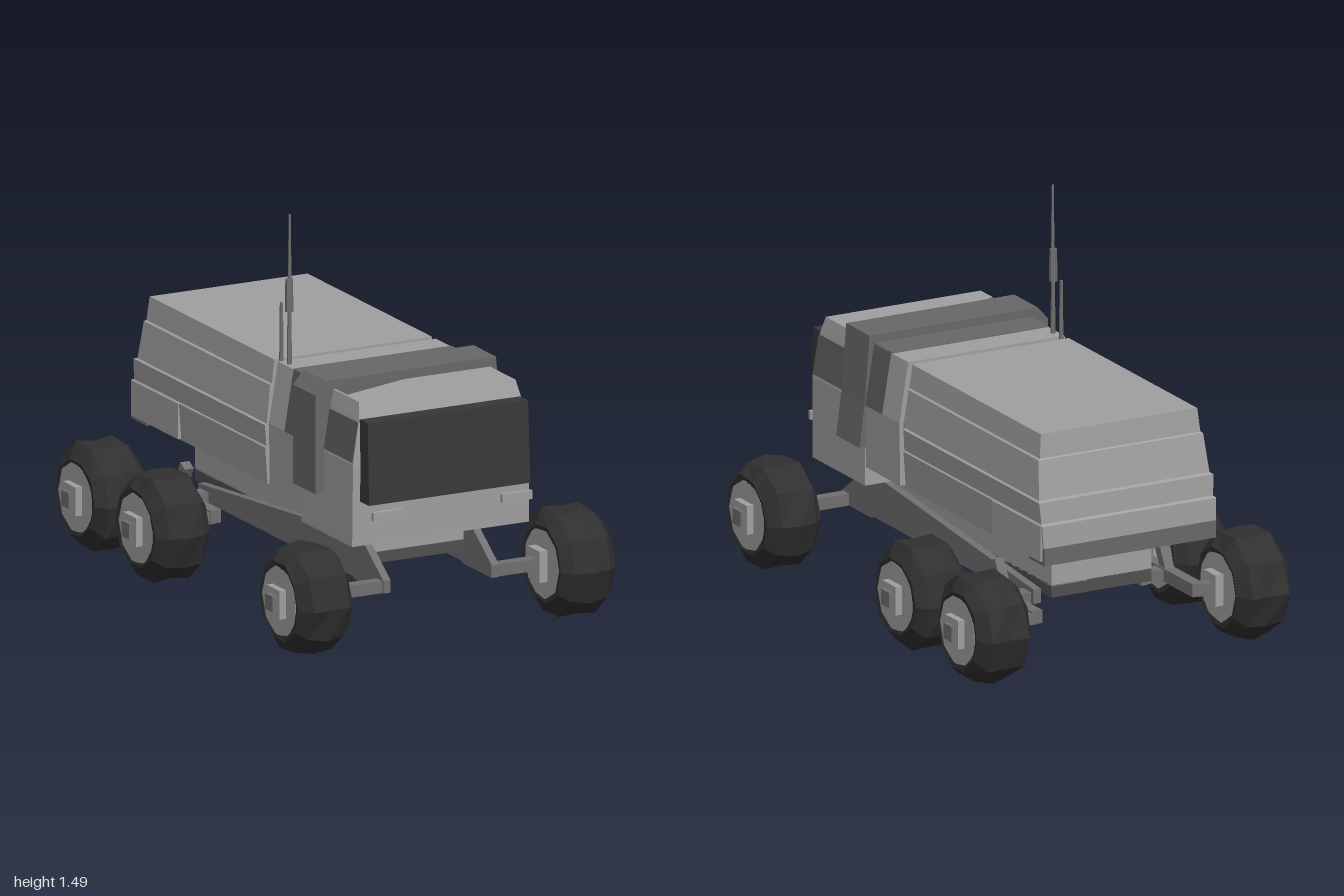
import * as THREE from 'three';

const mat = (name, color) => {
  const m = new THREE.MeshStandardMaterial({ color });
  m.name = name;
  return m;
};

export function createModel() {
  const root = new THREE.Group();
  root.name = 'sixWheelRover';
  const hull = mat('hullGrey', 0xa0a0a0);
  const trim = mat('trimGrey', 0x686868);
  const glass = mat('darkGlass', 0x383838);
  glass.side = THREE.DoubleSide;
  const rubber = mat('tyreBlack', 0x303030);
  const frame = mat('frameGrey', 0x707070);
  const belly = mat('bellyDark', 0x505050);

  // Adds a mesh with faceted normals
  const add = (name, geo, m, parent = root) => {
    const g = geo.index ? geo.toNonIndexed() : geo;
    g.computeVertexNormals();
    const mesh = new THREE.Mesh(g, m);
    mesh.name = name;
    parent.add(mesh);
    return mesh;
  };
  // Box from its minimum and maximum corners
  const box = (name, x0, x1, y0, y1, z0, z1, m, parent = root) => {
    const b = add(name, new THREE.BoxGeometry(x1 - x0, y1 - y0, z1 - z0), m, parent);
    b.position.set((x0 + x1) / 2, (y0 + y1) / 2, (z0 + z1) / 2);
    return b;
  };
  // Stacked rectangular sections: [y, half width, back z, front z]
  const loft = rows => {
    const pos = [], idx = [], n = rows.length;
    for (const [y, h, zb, zf] of rows) pos.push(-h, y, zb, -h, y, zf, h, y, zf, h, y, zb);
    for (let r = 0; r < n - 1; r++) for (let k = 0; k < 4; k++) {
      const a = r * 4 + k, b = r * 4 + (k + 1) % 4;
      idx.push(a, b, b + 4, a, b + 4, a + 4);
    }
    const t = (n - 1) * 4;
    idx.push(t, t + 1, t + 2, t, t + 2, t + 3, 0, 2, 1, 0, 3, 2);
    const g = new THREE.BufferGeometry();
    g.setAttribute('position', new THREE.Float32BufferAttribute(pos, 3));
    g.setIndex(idx);
    return g;
  };
  const polygon = pts => new THREE.Shape(pts.map(p => new THREE.Vector2(...p)));
  const extrude = (pts, depth) =>
    new THREE.ExtrudeGeometry(polygon(pts), { depth, bevelEnabled: false });

  // Rear compartment with stepped bands at the tail
  add('rearCompartment', loft([
    [0.45, 0.355, -0.91, 0.135], [0.59, 0.365, -0.908, 0.135], [0.595, 0.36, -0.893, 0.135],
    [0.675, 0.366, -0.888, 0.135], [0.68, 0.358, -0.87, 0.135], [0.825, 0.345, -0.846, 0.135],
    [0.83, 0.337, -0.84, 0.135], [0.92, 0.328, -0.832, 0.135],
  ]), hull);
  box('tailSill', -0.36, 0.36, 0.44, 0.505, -0.915, -0.8, trim);
  for (const s of [-1, 1]) {
    const x = s * 0.362;
    box('tailCornerPanel', x - 0.006, x + 0.006, 0.455, 0.59, -0.9, -0.535, hull);
  }

  // Recessed joint between the compartments
  add('bodyJoint', loft([
    [0.455, 0.34, 0.12, 0.18], [0.69, 0.348, 0.12, 0.18], [0.905, 0.31, 0.12, 0.18],
  ]), hull);

  // Cabin
  add('cabinRear', loft([
    [0.45, 0.362, 0.165, 0.44], [0.69, 0.365, 0.165, 0.44], [0.92, 0.328, 0.165, 0.44],
  ]), hull);
  add('cabinFront', loft([
    [0.38, 0.367, 0.42, 0.815], [0.69, 0.365, 0.42, 0.818],
    [0.86, 0.337, 0.42, 0.81], [0.92, 0.325, 0.42, 0.79],
  ]), hull);

  // Side windows lying on the sloping cabin walls
  const wallX = y => 0.368 - (y - 0.69) * 0.165;
  const sideWindow = (s, z0, z1, y0, y1) => {
    const g = new THREE.BufferGeometry();
    const a = s * wallX(y0), b = s * wallX(y1);
    g.setAttribute('position', new THREE.Float32BufferAttribute(
      [a, y0, z0, a, y0, z1, b, y1, z1, b, y1, z0], 3));
    g.setIndex(s > 0 ? [0, 2, 1, 0, 3, 2] : [0, 1, 2, 0, 2, 3]);
    return g;
  };
  const tint = mat('sideWindowGrey', 0x5c5c5c);
  tint.side = THREE.DoubleSide;
  for (const s of [-1, 1]) {
    add('frontSideWindow', sideWindow(s, 0.59, 0.815, 0.7, 0.85), tint);
    add('rearSideWindow', sideWindow(s, 0.29, 0.42, 0.69, 0.92), tint);
  }
  box('roofStrip', -0.328, 0.328, 0.918, 0.923, 0.285, 0.42, trim);
  const patch = add('roofPatch', new THREE.ShapeGeometry(
    polygon([[-0.32, -0.69], [0, -0.59], [-0.32, -0.59]])), tint);
  patch.rotation.x = -Math.PI / 2;
  patch.position.y = 0.923;

  // Hoop over the cabin
  const hoop = add('cabinHoop', extrude([
    [-0.4, 0.53], [0.392, 0.53], [0.37, 0.7], [0.35, 0.955], [-0.355, 0.955], [-0.4, 0.905],
  ], 0.175), trim);
  hoop.position.z = 0.417;

  // Windscreen block and headlights
  add('windscreen', loft([[0.55, 0.335, 0.79, 0.887], [0.86, 0.333, 0.79, 0.872]]), glass);
  for (const s of [-1, 1]) {
    const x = s * 0.268;
    box('headlight', x - 0.062, x + 0.062, 0.495, 0.528, 0.895, 0.912, hull);
  }

  // Aerials
  const rod = (name, r0, r1, y0, y1, z) => {
    const m = add(name, new THREE.CylinderGeometry(r1, r0, y1 - y0, 6), frame);
    m.position.set(-0.307, (y0 + y1) / 2, z);
  };
  rod('aerialBase', 0.01, 0.007, 0.9, 1.13, 0.215);
  rod('aerialCoil', 0.016, 0.014, 1.12, 1.245, 0.213);
  rod('aerialTip', 0.007, 0.004, 1.24, 1.49, 0.217);
  rod('shortAerial', 0.009, 0.006, 0.85, 1.14, 0.153);

  // Chassis and belly
  box('chassis', -0.21, 0.21, 0.28, 0.45, -0.7, 0.6, hull);
  box('bellyPan', -0.21, 0.21, 0.237, 0.285, -0.7, 0.6, belly);

  // Faceted wheel lying along x, jittered per facet for a rugged tread
  const wheel = (parent, s, z, seed) => {
    const w = new THREE.Group();
    w.name = 'wheel';
    const N = 10;
    const prof = [[0.115, -0.108], [0.15, -0.113], [0.2, -0.075], [0.206, 0],
      [0.2, 0.075], [0.15, 0.113], [0.115, 0.108]].map(p => new THREE.Vector2(...p));
    const g = new THREE.LatheGeometry(prof, N);
    const p = g.attributes.position;
    for (let i = 0; i < p.count; i++) {
      const k = Math.floor(i / prof.length) % N, j = i % prof.length;
      const f = 1 + 0.04 * Math.sin(k * 4.7 + j * 2.9 + seed * 1.7);
      p.setXYZ(i, p.getX(i) * f, p.getY(i), p.getZ(i) * f);
    }
    g.rotateZ(-Math.PI / 2);
    add('tyre', g, rubber, w);
    add('rim', new THREE.CylinderGeometry(0.135, 0.135, 0.222, 9).rotateZ(Math.PI / 2), hull, w);
    box('hubOuter', 0.1, 0.138, -0.055, 0.055, -0.05, 0.05, hull, w);
    box('hubCap', 0.13, 0.155, -0.03, 0.03, -0.03, 0.03, frame, w);
    box('hubInner', -0.145, -0.1, -0.06, 0.06, -0.045, 0.045, hull, w);
    w.position.set(s * 0.545, 0.206, z);
    if (s < 0) w.rotation.y = Math.PI;
    parent.add(w);
  };

  // Suspension and wheels on both sides
  const sideProfile = [[0.82, 0.235], [0.82, 0.187], [0.6, 0.187], [0.58, 0.195],
    [-0.62, 0.195], [-0.62, 0.25], [0.6, 0.36], [0.65, 0.355]];
  for (const s of [-1, 1]) {
    const side = new THREE.Group();
    side.name = s > 0 ? 'leftRunningGear' : 'rightRunningGear';
    root.add(side);
    const arm = add('rockerArm', extrude(sideProfile, 0.03).rotateY(-Math.PI / 2), frame, side);
    arm.position.x = s * 0.225 + 0.015;
    const across = (name, a, b, y0, y1, z0, z1) =>
      box(name, Math.min(s * a, s * b), Math.max(s * a, s * b), y0, y1, z0, z1, frame, side);
    across('bogieBeam', 0.315, 0.36, 0.19, 0.24, -0.82, -0.3);
    across('bogiePivot', 0.23, 0.33, 0.19, 0.235, -0.6, -0.54);
    const post = across('bogiePost', 0.32, 0.358, 0.22, 0.365, -0.575, -0.535);
    post.rotation.x = 0.5;
    [0.79, -0.325, -0.795].forEach((z, i) => {
      across('axle', i ? 0.34 : 0.22, 0.44, 0.187, 0.233, z - 0.022, z + 0.022);
      wheel(side, s, z, i + (s > 0 ? 0 : 3));
    });
  }
  return root;
}
